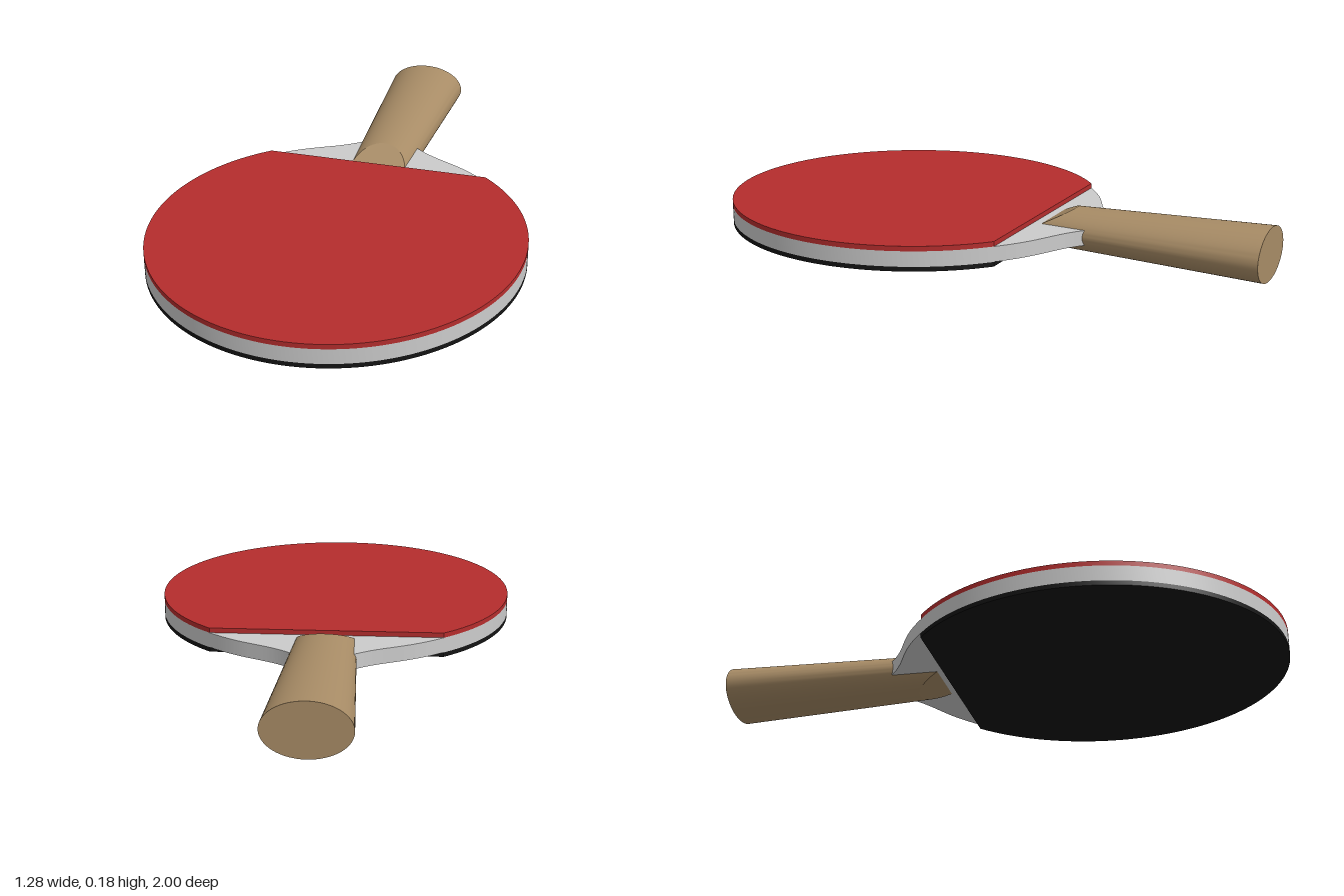
import * as THREE from 'three';
import { toCreasedNormals } from 'three/addons/utils/BufferGeometryUtils.js';

const MID = 0.0935; // height of the paddle's middle plane
const CUT = -0.19; // z where the rubber stops
const CUT_ANGLE = Math.asin((CUT - 0.33) / 0.67);

// Oval face outline, open at the handle side (shape y becomes z)
function ovalShape() {
  const shape = new THREE.Shape();
  shape.absellipse(0, 0.33, 0.64, 0.67, CUT_ANGLE, Math.PI - CUT_ANGLE, false);
  return shape;
}

// Flat layer between two heights
function layer(name, shape, bottom, top, color) {
  let geo = new THREE.ExtrudeGeometry(shape, { depth: top - bottom, bevelEnabled: false, curveSegments: 96 });
  geo.rotateX(Math.PI / 2);
  geo.translate(0, top, 0);
  geo = toCreasedNormals(geo, 0.5);
  const mesh = new THREE.Mesh(geo, new THREE.MeshStandardMaterial({ color }));
  mesh.name = name;
  return mesh;
}

// Tapered oval grip, its front end cut by a slope above and below
function handleGeometry() {
  const N = 64, pos = [], index = [];
  const point = (i, front) => {
    const a = -Math.PI / 2 + (i / N) * Math.PI * 2;
    const s = Math.sin(a);
    const z = front ? -0.217 - Math.max(0, Math.abs(s) * 0.07 - 0.0265) / 0.48 : -1;
    const t = (-0.217 - z) / 0.783;
    const w = 0.107 + 0.036 * t, h = 0.0675 + 0.0245 * t;
    pos.push(w * Math.cos(a), MID + h * s, z);
  };
  for (const front of [false, true]) for (let i = 0; i < N; i++) point(i, front);
  for (let i = 0; i < N; i++) {
    const j = (i + 1) % N;
    index.push(i, j, N + j, i, N + j, N + i);
  }
  // Ends: strips between mirrored left and right points
  for (let k = 0; k < N / 2; k++) {
    const r0 = k, r1 = k + 1, l0 = (N - k) % N, l1 = N - k - 1;
    if (k > 0) index.push(N + l0, N + r0, N + r1, l0, r1, r0);
    if (r1 !== l1) index.push(N + l0, N + r1, N + l1, l0, l1, r1);
  }
  const geo = new THREE.BufferGeometry();
  geo.setAttribute('position', new THREE.Float32BufferAttribute(pos, 3));
  geo.setIndex(index);
  return toCreasedNormals(geo, 0.35);
}

export function createModel() {
  const group = new THREE.Group();
  group.name = 'paddle';

  // Blade: oval with a flared neck running into the handle
  const blade = ovalShape();
  blade.bezierCurveTo(-0.27, -0.31, -0.2, -0.3, -0.1, -0.39);
  blade.lineTo(-0.09, -0.6);
  blade.lineTo(0.09, -0.6);
  blade.lineTo(0.1, -0.39);
  blade.bezierCurveTo(0.2, -0.3, 0.27, -0.31, 0.64 * Math.cos(CUT_ANGLE), CUT);
  group.add(layer('blade', blade, 0.067, 0.12, 0xcccccc));

  // Rubber sheets with a straight edge facing the handle
  group.add(layer('topRubber', ovalShape(), 0.12, 0.137, 0xb52d2d));
  group.add(layer('bottomRubber', ovalShape(), 0.051, 0.067, 0x141414));

  const handle = new THREE.Mesh(handleGeometry(), new THREE.MeshStandardMaterial({ color: 0xa88c66 }));
  handle.name = 'handle';
  group.add(handle);
  return group;
}
